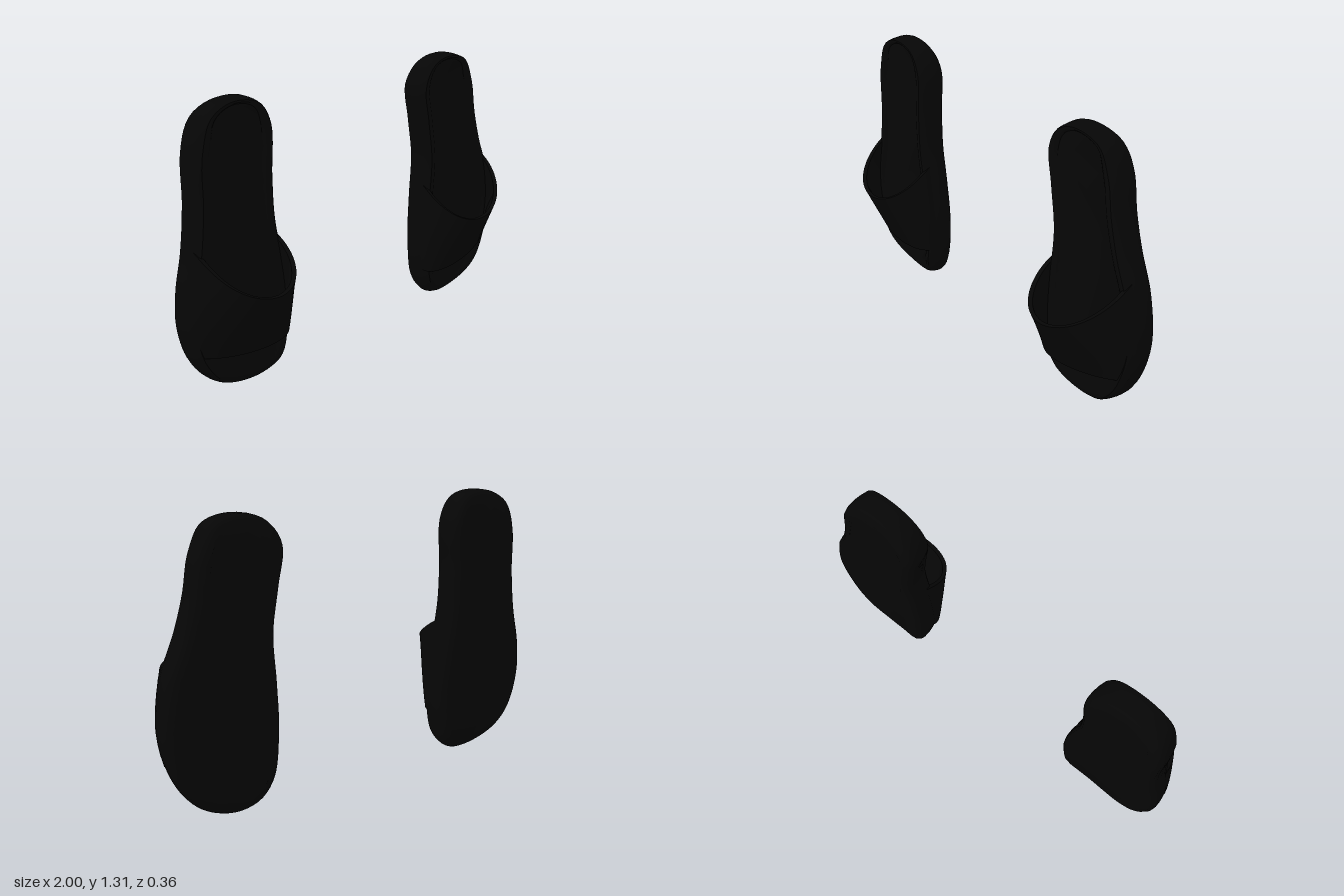
import * as THREE from 'three';
import { toCreasedNormals } from 'three/addons/utils/BufferGeometryUtils.js';

const black = new THREE.MeshStandardMaterial({ color: 0x060606, side: THREE.DoubleSide });
black.name = 'black rubber';

// Sole outlines, counter-clockwise from the heel, as x, y
const RIGHT = [[-0.74, 1.315], [-0.86, 1.26], [-0.915, 1.115], [-0.925, 0.9], [-0.95, 0.7], [-0.99, 0.52],
  [-0.998, 0.36], [-0.95, 0.185], [-0.84, 0.06], [-0.63, 0.003], [-0.515, 0.05], [-0.475, 0.18],
  [-0.465, 0.37], [-0.49, 0.58], [-0.52, 0.77], [-0.525, 0.95], [-0.522, 1.19], [-0.59, 1.29]];
const LEFT = [[0.58, 1.315], [0.47, 1.27], [0.415, 1.17], [0.44, 1.0], [0.47, 0.8], [0.458, 0.58],
  [0.452, 0.36], [0.478, 0.14], [0.545, 0.035], [0.65, 0.003], [0.81, 0.055], [0.925, 0.175],
  [0.995, 0.42], [0.965, 0.66], [0.89, 0.85], [0.845, 1.0], [0.81, 1.17], [0.74, 1.285]];

// Surface through rows of points; closed joins each row's ends and caps the first and last row
function loft(rows, closed) {
  const n = rows[0].length, index = [];
  for (let i = 0; i < rows.length - 1; i++) {
    for (let j = 0; j < (closed ? n : n - 1); j++) {
      const a = i * n + j, b = i * n + (j + 1) % n;
      index.push(a, b, b + n, a, b + n, a + n);
    }
  }
  if (closed) {
    const cap = (row) => THREE.ShapeUtils.triangulateShape(row.map(([x, y]) => new THREE.Vector2(x, y)), []);
    const last = (rows.length - 1) * n;
    cap(rows[0]).forEach(([a, b, c]) => index.push(a, c, b));
    cap(rows.at(-1)).forEach(([a, b, c]) => index.push(last + a, last + b, last + c));
  }
  const geo = new THREE.BufferGeometry();
  geo.setAttribute('position', new THREE.Float32BufferAttribute(rows.flat(2), 3));
  geo.setIndex(index);
  return toCreasedNormals(geo, 0.7);
}

// Left and right edge of an outline at height y
function span(pts, y) {
  const xs = [];
  pts.forEach((p, i) => {
    const q = pts[(i + 1) % pts.length];
    if ((p.y <= y) !== (q.y <= y)) xs.push(p.x + (q.x - p.x) * (y - p.y) / (q.y - p.y));
  });
  return [Math.min(...xs), Math.max(...xs)];
}

// Rounded sole with a raised rim around a sunken footbed, thinner at toe and heel
function soleGeometry(curve, pts) {
  const n = pts.length;
  const ring = ([inset, depth]) => pts.map((p, i) => {
    const t = curve.getTangentAt(i / n);
    const heel = Math.max(0, (p.y - 1.15) / 0.165) ** 2;
    // The front rim is squarer around the heel
    const d = depth > -0.08 ? inset * (1 - 0.6 * heel) : inset;
    const x = p.x - t.y * d, y = p.y + t.x * d;
    const toe = 0.65 * Math.max(0, 1 - y / 0.17) ** 2;
    const z = depth + (-0.005 - depth) * 0.15 * heel;
    return [x, y, z + (-0.09 - z) * toe];
  });
  const profile = [[0.05, -0.152], [0.022, -0.147], [0.006, -0.132], [0, -0.11], [0, -0.08],
    [0.005, -0.045], [0.014, -0.014], [0.022, -0.006], [0.045, -0.007], [0.055, -0.012], [0.065, -0.02]];
  return loft(profile.map(ring), true);
}

// Wide arched strap: low at the toe opening, high over the instep.
// lean shifts its crown sideways, tilt raises its +x side, mid is the height of its upper edge at the crown
function strapGeometry(pts, { lean, tilt, mid }) {
  const steps = 8, segs = 40, base = -0.04, thick = 0.02;
  const row = (v, inner) => {
    const out = [];
    for (let j = 0; j <= segs; j++) {
      const t = Math.PI * (1 - j / segs), s = Math.sin(t);
      const y = THREE.MathUtils.lerp(0.235 - 0.015 * s, 0.7 + (mid - 0.7) * s, v) + tilt * Math.cos(t);
      const [a, b] = span(pts, y);
      const half = ((b - a) / 2 - 0.004 - inner) * (1 - 0.08 * s);
      const top = THREE.MathUtils.lerp(0.065, 0.208, v) - inner;
      out.push([(a + b) / 2 + lean * s + half * Math.cos(t), y, base + (top - base) * s ** 0.9]);
    }
    return out;
  };
  const rows = [];
  for (let i = 0; i <= steps; i++) rows.push(row(i / steps, 0));
  for (let i = steps; i >= 0; i--) rows.push(row(i / steps, thick));
  rows.push(row(0, 0));
  return loft(rows, false);
}

function sandal(outline, strap, name) {
  const curve = new THREE.CatmullRomCurve3(outline.map(([x, y]) => new THREE.Vector3(x, y, 0)), true);
  const pts = curve.getSpacedPoints(110).slice(0, -1);
  const group = new THREE.Group();
  group.name = name;
  const add = (geo, part) => {
    const mesh = new THREE.Mesh(geo, black);
    mesh.name = part;
    group.add(mesh);
  };
  add(soleGeometry(curve, pts), 'sole');
  add(strapGeometry(pts, strap), 'strap');
  return group;
}

export function createModel() {
  const model = new THREE.Group();
  model.name = 'slideSandals';
  model.add(
    sandal(RIGHT, { lean: 0.025, tilt: -0.015, mid: 0.52 }, 'rightSandal'),
    sandal(LEFT, { lean: -0.05, tilt: 0.04, mid: 0.505 }, 'leftSandal'),
  );
  return model;
}
